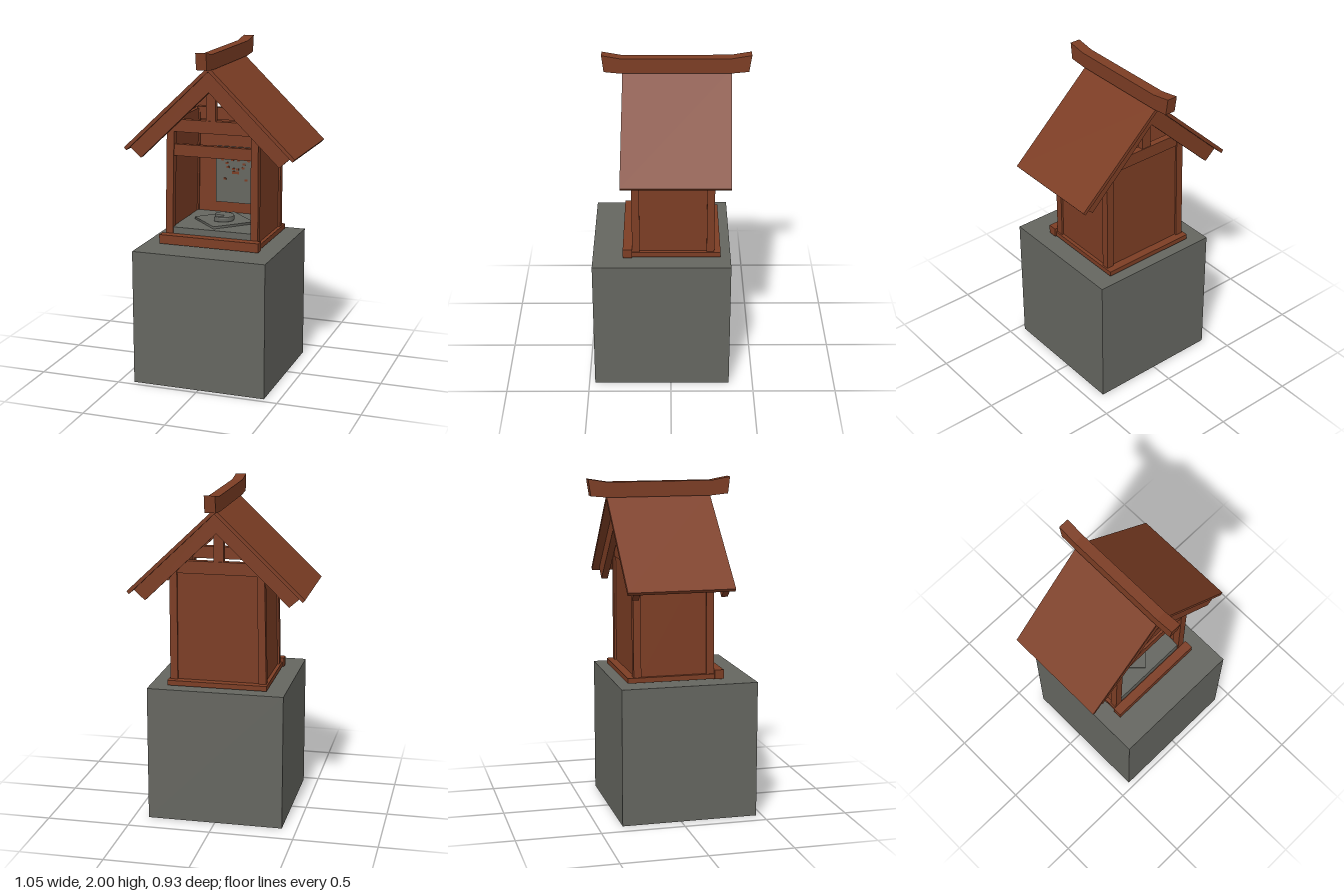
import * as THREE from 'three';

export function createModel() {
  const root = new THREE.Group();
  root.name = 'shrine';
  const mat = (name, color) => {
    const m = new THREE.MeshStandardMaterial({ color });
    m.name = name;
    return m;
  };
  const wood = mat('redwood', 0x7c3d24);
  const stone = mat('greyStone', 0x656660);

  const add = (name, geo, material) => {
    const m = new THREE.Mesh(geo, material);
    m.name = name;
    root.add(m);
    return m;
  };
  // Box given by its limits on each axis
  const box = (name, material, x0, x1, y0, y1, z0, z1) => {
    const g = new THREE.BoxGeometry(x1 - x0, y1 - y0, z1 - z0);
    g.translate((x0 + x1) / 2, (y0 + y1) / 2, (z0 + z1) / 2);
    return add(name, g, material);
  };
  // Parts on the right side lean inwards a little towards the top
  const lean = (mesh) => {
    const p = mesh.geometry.attributes.position;
    for (let i = 0; i < p.count; i++) {
      if (p.getX(i) < 0) p.setX(i, p.getX(i) + (p.getY(i) - 0.86) * 0.022);
    }
    mesh.geometry.computeVertexNormals();
  };
  const polygon = (pts) => new THREE.Shape(pts.map(([x, y]) => new THREE.Vector2(x, y)));
  // Inverted V, mirrored about x = 0, running from z0 to z1
  const chevron = (name, topY, outer, inner, lowY, z0, z1, skew = 0) => {
    const s = polygon([
      [0, topY], [-outer[0], outer[1]], [-inner[0], inner[1]],
      [0, lowY], inner, outer,
    ]);
    const g = new THREE.ExtrudeGeometry(s, { depth: z1 - z0, bevelEnabled: false });
    g.translate(0, 0, z0);
    const p = g.attributes.position;
    for (let i = 0; i < p.count; i++) p.setZ(i, p.getZ(i) + Math.abs(p.getX(i)) * skew);
    g.computeVertexNormals();
    return add(name, g, wood);
  };

  // Stone block and timber base
  box('pedestal', stone, -0.41, 0.41, 0, 0.82, -0.355, 0.465);
  box('baseFrame', wood, -0.3, 0.3, 0.83, 0.86, -0.295, 0.24);
  box('frontSill', wood, -0.31, 0.31, 0.83, 0.885, 0.23, 0.285);

  // Corner posts and walls
  for (const s of [-1, 1]) {
    const side = (a, b) => (s > 0 ? [a, b] : [-b, -a]);
    lean(box('frontPost', wood, ...side(0.245, 0.29), 0.86, 1.57, 0.185, 0.23));
    lean(box('backPost', wood, ...side(0.245, 0.29), 0.86, 1.57, -0.257, -0.212));
    lean(box('sideWall', wood, ...side(0.255, 0.278), 0.86, 1.57, -0.212, 0.185));
  }
  box('backWall', wood, -0.255, 0.255, 0.86, 1.51, -0.245, -0.225);

  // Cross beams and king posts
  box('lowerFrontBeam', wood, -0.25, 0.25, 1.36, 1.43, 0.19, 0.222);
  for (const [name, z0, z1] of [['front', 0.187, 0.227], ['back', -0.254, -0.214]]) {
    box(name + 'TieBeam', wood, -0.25, 0.25, 1.505, 1.58, z0, z1);
    box(name + 'KingPost', wood, -0.033, 0.027, 1.58, 1.83, z0 + 0.004, z1 - 0.004);
  }

  // Roof covering, barge boards and rafters
  chevron('roofPanels', 1.905, [0.527, 1.402], [0.513, 1.385], 1.877, -0.352, 0.278, 0.02);
  chevron('frontBargeBoard', 1.877, [0.495, 1.402], [0.428, 1.342], 1.755, 0.23, 0.268);
  chevron('backBargeBoard', 1.877, [0.495, 1.402], [0.428, 1.342], 1.755, -0.298, -0.258);
  for (const z of [-0.108, 0.085]) {
    chevron('rafter', 1.877, [0.495, 1.402], [0.472, 1.38], 1.83, z - 0.024, z + 0.024);
  }

  // Ridge beam with upswept ends
  const ridge = new THREE.ExtrudeGeometry(polygon([
    [0.385, 1.9], [0.397, 2.0], [0.285, 1.98], [-0.345, 1.98],
    [-0.465, 2.0], [-0.45, 1.9], [-0.345, 1.89], [0.285, 1.89],
  ]), { depth: 0.064, bevelEnabled: false });
  ridge.rotateY(-Math.PI / 2);
  ridge.translate(0.032, 0, 0);
  add('ridgeBeam', ridge, wood);

  // Stone floor with a diamond tray
  box('floorSlab', stone, -0.25, 0.25, 0.86, 0.922, -0.22, 0.222);
  const tray = new THREE.CylinderGeometry(0.19, 0.19, 0.014, 4);
  tray.translate(0, 0.929, 0);
  add('tray', tray, stone);

  // Curled offering on the tray
  const curl = new THREE.Shape();
  curl.moveTo(-0.055, 0.01);
  curl.bezierCurveTo(-0.06, 0.07, 0.05, 0.08, 0.062, -0.01);
  curl.bezierCurveTo(0.06, -0.06, 0.02, -0.075, -0.03, -0.07);
  curl.bezierCurveTo(0.03, -0.05, 0.025, -0.01, -0.01, -0.01);
  curl.bezierCurveTo(-0.03, -0.01, -0.05, -0.01, -0.055, 0.01);
  const offering = new THREE.ExtrudeGeometry(curl, {
    depth: 0.018, bevelEnabled: true, bevelSize: 0.006, bevelThickness: 0.007, bevelSegments: 2,
  });
  offering.rotateX(-Math.PI / 2);
  offering.translate(0, 0.942, 0);
  add('offering', offering, stone);

  // Grey panel on the back wall with a fan of small flecks
  box('backPanel', stone, -0.13, 0.13, 0.985, 1.34, -0.225, -0.216);
  box('fleck', wood, -0.022, 0.022, 1.17, 1.187, -0.216, -0.212);
  for (const s of [-1, 1]) {
    for (const [x, y] of [[0.012, 1.2], [0.05, 1.21], [0.055, 1.235], [0.085, 1.257], [0.02, 1.258], [0.07, 1.135]]) {
      box('fleck', wood, s * x - 0.009, s * x + 0.009, y - 0.006, y + 0.006, -0.216, -0.212);
    }
  }
  return root;
}
